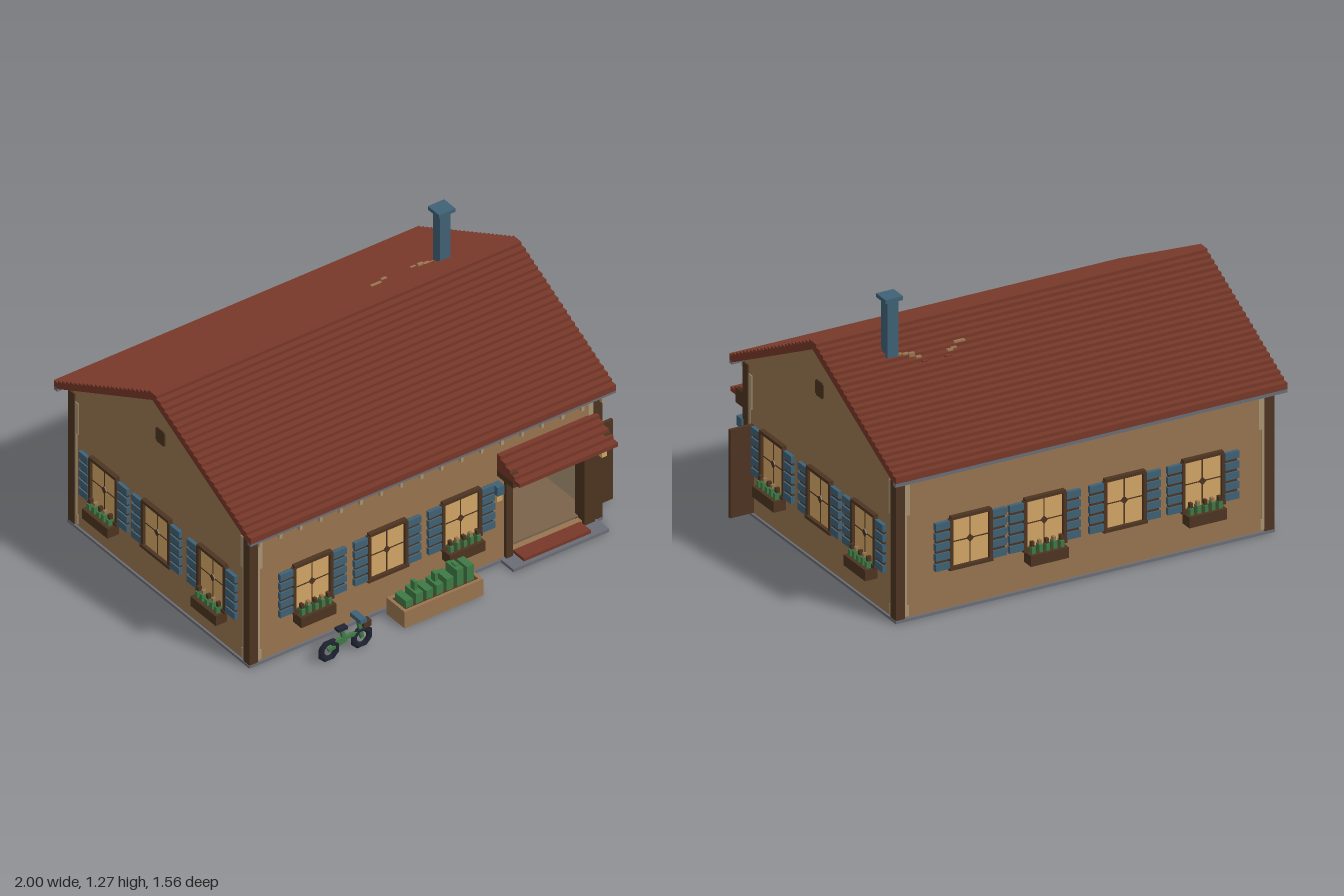
import * as THREE from 'three';

const mat = (name, color) => Object.assign(new THREE.MeshStandardMaterial({ color }), { name });

export function createModel() {
  const M = {
    wall: mat('plaster', 0x98754f), roof: mat('roof tile', 0x773829), wood: mat('dark wood', 0x4e3421),
    blue: mat('blue paint', 0x3f6175), pane: mat('window glow', 0xd3a665), pale: mat('pale stone', 0xa99472),
    navy: mat('black iron', 0x212433), leaf: mat('leaf green', 0x3f7a45), grey: mat('grey stone', 0x6b6d76),
    floor: mat('floor boards', 0x7c634b),
  };
  const model = new THREE.Group();
  model.name = 'house';

  const group = (name, parent = model) => {
    const g = new THREE.Group();
    g.name = name;
    parent.add(g);
    return g;
  };
  const add = (name, geo, m, parent = model) => {
    const mesh = new THREE.Mesh(geo, m);
    mesh.name = name;
    parent.add(mesh);
    return mesh;
  };
  // Box given by its limits on each axis
  const box = (name, m, x0, x1, y0, y1, z0, z1, parent) => {
    const b = add(name, new THREE.BoxGeometry(x1 - x0, y1 - y0, z1 - z0), m, parent);
    b.position.set((x0 + x1) / 2, (y0 + y1) / 2, (z0 + z1) / 2);
    return b;
  };
  // Profile of [z, y] points swept along x
  const sweep = (name, m, pts, x0, x1, parent) => {
    const shape = new THREE.Shape(pts.map(([z, y]) => new THREE.Vector2(z, y)));
    const geo = new THREE.ExtrudeGeometry(shape, { depth: x1 - x0, bevelEnabled: false });
    geo.rotateY(-Math.PI / 2).translate(x1, 0, 0);
    return add(name, geo, m, parent);
  };

  // Walls, with an opening for the door
  const walls = group('walls');
  const gable = [[-0.712, 0], [0.582, 0], [0.582, 0.715], [-0.07, 1.034], [-0.712, 0.715]];
  sweep('leftGable', M.wall, gable, -0.942, -0.912, walls);
  sweep('rightGable', M.wall, gable, 0.852, 0.882, walls);
  box('backWall', M.wall, -0.912, 0.852, 0, 0.71, -0.712, -0.682, walls);
  box('frontWall', M.wall, -0.912, 0.405, 0, 0.71, 0.552, 0.582, walls);
  box('frontWallEnd', M.wall, 0.8, 0.852, 0, 0.71, 0.552, 0.582, walls);
  box('doorLintel', M.wall, 0.405, 0.8, 0.47, 0.71, 0.552, 0.582, walls);
  box('doorSill', M.wall, 0.405, 0.8, 0, 0.03, 0.552, 0.582, walls);
  box('backLining', M.pale, 0.39, 0.852, 0.04, 0.7, -0.682, -0.655, walls);
  box('sideLining', M.pale, 0.845, 0.852, 0.04, 0.7, -0.655, 0.55, walls);
  box('partition', M.pane, 0.36, 0.39, 0.04, 0.7, -0.68, 0.55, walls);

  // Recessed floor with panels seen from beneath
  box('floor', M.floor, -0.912, 0.852, 0.032, 0.04, -0.682, 0.552);
  const under = (name, m, x0, x1, z0, z1) => box(name, m, x0, x1, 0.028, 0.032, z0, z1);
  [[0.64, 0.74, -0.05, 0.3], [-0.41, -0.02, -0.3, -0.18], [-0.83, -0.43, -0.31, -0.19], [-0.85, -0.47, 0.1, 0.22]]
    .forEach(([a, b, c, d]) => under('floorPanel', M.pale, a, b, c, d));
  under('rugUnderside', M.roof, 0.32, 0.75, -0.64, -0.12);
  under('stoveUnderside', M.navy, 0.76, 0.83, -0.5, -0.28);
  under('bluePad', M.blue, 0.17, 0.24, -0.62, -0.55);
  under('bluePad', M.blue, -0.9, -0.83, -0.62, -0.55);
  under('redPad', M.roof, -0.9, -0.84, 0.49, 0.55);

  // Grey foundation strip
  for (const [z0, z1] of [[0.582, 0.592], [-0.722, -0.712]]) box('foundation', M.grey, -0.952, 0.892, 0, 0.013, z0, z1);
  for (const [x0, x1] of [[-0.952, -0.942], [0.882, 0.892]]) box('foundation', M.grey, x0, x1, 0, 0.013, -0.712, 0.582);

  // Corner posts and pale stones beside them
  for (const sx of [-1, 1]) for (const sz of [-1, 1]) {
    const x = sx > 0 ? 0.89 : -0.95, z = sz > 0 ? 0.59 : -0.72;
    const span = (a, b) => [Math.min(a, b), Math.max(a, b)];
    box('cornerPost', M.wood, ...span(x, x - sx * 0.045), 0.013, 0.69, ...span(z, z - sz * 0.045));
    for (const [y0, y1, w] of [[0.02, 0.07, 0.065], [0.07, 0.49, 0.057], [0.49, 0.65, 0.071]]) {
      box('cornerStone', M.pale, ...span(x - sx * 0.04, x - sx * w), y0, y1, ...span(z - sz * 0.004, z - sz * 0.02));
      box('cornerStone', M.pale, ...span(x - sx * 0.004, x - sx * 0.02), y0, y1, ...span(z - sz * 0.04, z - sz * w));
    }
  }

  // Stepped tile roof
  const ridgeZ = -0.07, half = 0.71, steps = 24, dz = half / steps, dy = 0.345 / (steps - 1);
  const slope = [];
  for (let i = 0; i < steps; i++) {
    const y = 0.715 + i * dy, z = half - i * dz;
    slope.push([z, y], [z - dz, y]);
  }
  const outline = [
    [half, 0.685], ...slope, ...slope.slice(0, -1).reverse().map(([z, y]) => [-z, y]),
    [-half, 0.685], [-half + dz, 0.685], [0, 1.025], [half - dz, 0.685],
  ].map(([z, y]) => [z + ridgeZ, y]);
  sweep('roof', M.roof, outline, -0.98, 0.925);

  // Gutters and rafter ends
  box('frontGutter', M.grey, -0.98, 0.925, 0.672, 0.687, 0.615, 0.638);
  box('backGutter', M.grey, -0.98, 0.925, 0.668, 0.687, -0.778, -0.755);
  for (let i = 0; i < 18; i++) {
    const x = -0.93 + i * 0.105;
    box('rafterEnd', M.pale, x, x + 0.014, 0.645, 0.672, 0.618, 0.634);
  }

  // Chimney and the frayed cord lying beside it
  const chimney = group('chimney');
  box('stack', M.blue, 0.602, 0.655, 0.93, 1.25, -0.235, -0.182, chimney);
  box('cap', M.blue, 0.587, 0.672, 1.25, 1.268, -0.25, -0.168, chimney);
  [[0.28, -0.235], [0.305, -0.235], [0.33, -0.25], [0.355, -0.265], [0.375, -0.285],
    [0.485, -0.28], [0.505, -0.26], [0.53, -0.245], [0.555, -0.235], [0.58, -0.225]].forEach(([x, z], i) => {
    const y = 0.715 + dy * Math.floor((half - Math.abs(z - ridgeZ)) / dz);
    box('roofCord', i === 4 || i === 5 ? M.roof : M.wall, x, x + 0.027, y - 0.01, y + 0.007, z - 0.008, z + 0.008);
  });

  // Window facing +z with its origin on the wall line
  function windowUnit(x, z, angle, hasBox) {
    const g = group('window');
    g.position.set(x, 0, z);
    g.rotation.y = angle;
    box('pane', M.pane, -0.09, 0.09, 0.205, 0.43, -0.002, 0.007, g);
    for (const s of [-1, 1]) {
      box('frameSide', M.wood, s * 0.096 - 0.008, s * 0.096 + 0.008, 0.2, 0.43, 0, 0.02, g);
      box('shutterBack', M.wood, s * 0.137 - 0.03, s * 0.137 + 0.03, 0.205, 0.425, 0, 0.012, g);
      for (let i = 0; i < 5; i++)
        box('shutterSlat', M.blue, s * 0.139 - 0.034, s * 0.139 + 0.034, 0.203 + i * 0.0475, 0.236 + i * 0.0475, 0.002, 0.02, g);
    }
    box('frameTop', M.wood, -0.098, 0.098, 0.427, 0.442, 0, 0.022, g);
    box('sill', M.wood, -0.106, 0.106, 0.193, 0.208, 0, 0.024, g);
    box('leafJoint', M.wood, -0.0025, 0.0025, 0.205, 0.43, 0, 0.009, g);
    box('glazingBar', M.wood, -0.09, 0.09, 0.3175, 0.3225, 0, 0.009, g);
    const knot = box('centreKnot', M.wood, -0.013, 0.013, 0.307, 0.333, 0, 0.012, g);
    knot.rotation.z = Math.PI / 4;
    if (!hasBox) return;
    box('flowerBox', M.wood, -0.092, 0.092, 0.14, 0.19, 0, 0.059, g);
    for (let i = 0; i < 5; i++) {
      const px = -0.07 + i * 0.035;
      box('flowerStem', M.leaf, px - 0.009, px + 0.009, 0.19, 0.22 + (i % 2) * 0.006, 0.015, 0.045, g);
      box('flowerHead', i % 2 ? M.wall : M.wood, px - 0.007, px + 0.007, 0.22, 0.243, 0.02, 0.038, g);
    }
  }
  [[-0.625, true], [-0.235, false], [0.15, true]].forEach(([x, b]) => windowUnit(x, 0.582, 0, b));
  [[0.53, false], [0.17, true], [-0.22, false], [-0.6, true]].forEach(([x, b]) => windowUnit(x, -0.712, Math.PI, b));
  [[0.325, true], [-0.075, false], [-0.455, true]].forEach(([z, b]) => {
    windowUnit(0.882, z, Math.PI / 2, b);
    windowUnit(-0.942, z, -Math.PI / 2, b);
  });

  // Attic vents
  for (const x of [-0.947, 0.879]) {
    box('atticVent', M.wood, x, x + 0.008, 0.795, 0.855, -0.092, -0.026);
    box('atticVent', M.wood, x, x + 0.008, 0.788, 0.862, -0.084, -0.034);
  }

  // Doorway, canopy, step and open door
  const entry = group('entrance');
  box('leftJamb', M.wood, 0.383, 0.415, 0.013, 0.49, 0.53, 0.6, entry);
  box('rightJamb', M.wood, 0.79, 0.845, 0.013, 0.49, 0.53, 0.6, entry);
  box('doorHead', M.wood, 0.383, 0.845, 0.45, 0.49, 0.53, 0.6, entry);
  for (const x of [0.347, 0.832]) box('canopyBracket', M.wood, x, x + 0.031, 0.45, 0.52, 0.58, 0.695, entry);
  for (let i = 0; i < 5; i++)
    box('canopyTile', M.roof, 0.345, 0.86, 0.482 + i * 0.016, 0.502 + i * 0.016, 0.58, 0.745 - i * 0.034, entry);
  box('step', M.grey, 0.36, 0.86, 0, 0.015, 0.55, 0.68, entry);
  box('doorMat', M.roof, 0.43, 0.78, 0.015, 0.03, 0.56, 0.66, entry);
  box('openDoor', M.wood, 0.885, 1, 0.018, 0.43, 0.5, 0.515, entry);
  for (const x of [0.335, 0.88]) {
    box('lanternBody', M.pane, x - 0.014, x + 0.014, 0.345, 0.38, 0.585, 0.618, entry);
    box('lanternCap', M.blue, x - 0.018, x + 0.018, 0.38, 0.425, 0.582, 0.627, entry);
  }

  // Room behind the door
  const room = group('room');
  box('roomPane', M.pane, 0.445, 0.615, 0.2, 0.43, -0.655, -0.648, room);
  box('roomBar', M.wood, 0.528, 0.532, 0.2, 0.43, -0.65, -0.643, room);
  box('roomBar', M.wood, 0.445, 0.615, 0.316, 0.32, -0.65, -0.643, room);
  box('roomKnot', M.wood, 0.515, 0.545, 0.303, 0.333, -0.65, -0.642, room);
  box('stove', M.navy, 0.7, 0.785, 0.19, 0.36, -0.5, -0.35, room);
  box('stoveBase', M.floor, 0.68, 0.78, 0.04, 0.17, -0.52, -0.33, room);
  box('chairBack', M.wood, 0.42, 0.505, 0.09, 0.2, 0.05, 0.07, room);
  box('chairCushion', M.wall, 0.42, 0.49, 0.2, 0.23, 0.03, 0.07, room);
  box('tableTop', M.wall, 0.5, 0.6, 0.13, 0.15, -0.4, -0.1, room);
  for (const x of [0.51, 0.575]) for (const z of [-0.38, -0.14]) box('tableLeg', M.wall, x, x + 0.015, 0.04, 0.13, z, z + 0.02, room);

  // Garden planter, open underneath
  const planter = group('planter');
  for (const z of [0.61, 0.725]) box('troughSide', M.wall, -0.25, 0.16, 0, 0.085, z, z + 0.015, planter);
  for (const x of [-0.25, 0.145]) box('troughEnd', M.wall, x, x + 0.015, 0, 0.085, 0.625, 0.725, planter);
  box('soil', M.wood, -0.235, 0.145, 0.06, 0.08, 0.625, 0.725, planter);
  [0.115, 0.13, 0.125, 0.13, 0.14, 0.165, 0.16].forEach((h, i) => {
    const x = -0.225 + i * 0.053;
    box('plant', M.leaf, x, x + 0.036, 0.08, h, 0.635, 0.715, planter);
    if (i % 2) box('plantTip', M.leaf, x + 0.01, x + 0.026, h, 0.173, 0.66, 0.69, planter);
  });

  // Bicycle
  const bike = group('bicycle');
  const bar = (name, m, x0, y0, x1, y1, w = 0.016) => {
    const b = add(name, new THREE.BoxGeometry(Math.hypot(x1 - x0, y1 - y0) + w / 2, w, w), m, bike);
    b.position.set((x0 + x1) / 2, (y0 + y1) / 2, 0.74);
    b.rotation.z = Math.atan2(y1 - y0, x1 - x0);
  };
  for (const x of [-0.645, -0.475]) {
    const wheel = add('wheel', new THREE.TorusGeometry(0.042, 0.016, 4, 8).rotateZ(Math.PI / 8), M.navy, bike);
    wheel.position.set(x, 0.054, 0.74);
  }
  bar('lowerTube', M.leaf, -0.645, 0.055, -0.56, 0.075);
  bar('crossTube', M.leaf, -0.625, 0.085, -0.48, 0.085);
  bar('seatTube', M.leaf, -0.565, 0.07, -0.58, 0.135);
  bar('fork', M.leaf, -0.475, 0.055, -0.492, 0.15);
  box('saddle', M.navy, -0.605, -0.555, 0.135, 0.148, 0.725, 0.755, bike);
  box('handlebar', M.blue, -0.507, -0.475, 0.15, 0.17, 0.7, 0.778, bike);
  box('basket', M.wood, -0.475, -0.435, 0.105, 0.135, 0.725, 0.758, bike);

  return model;
}
